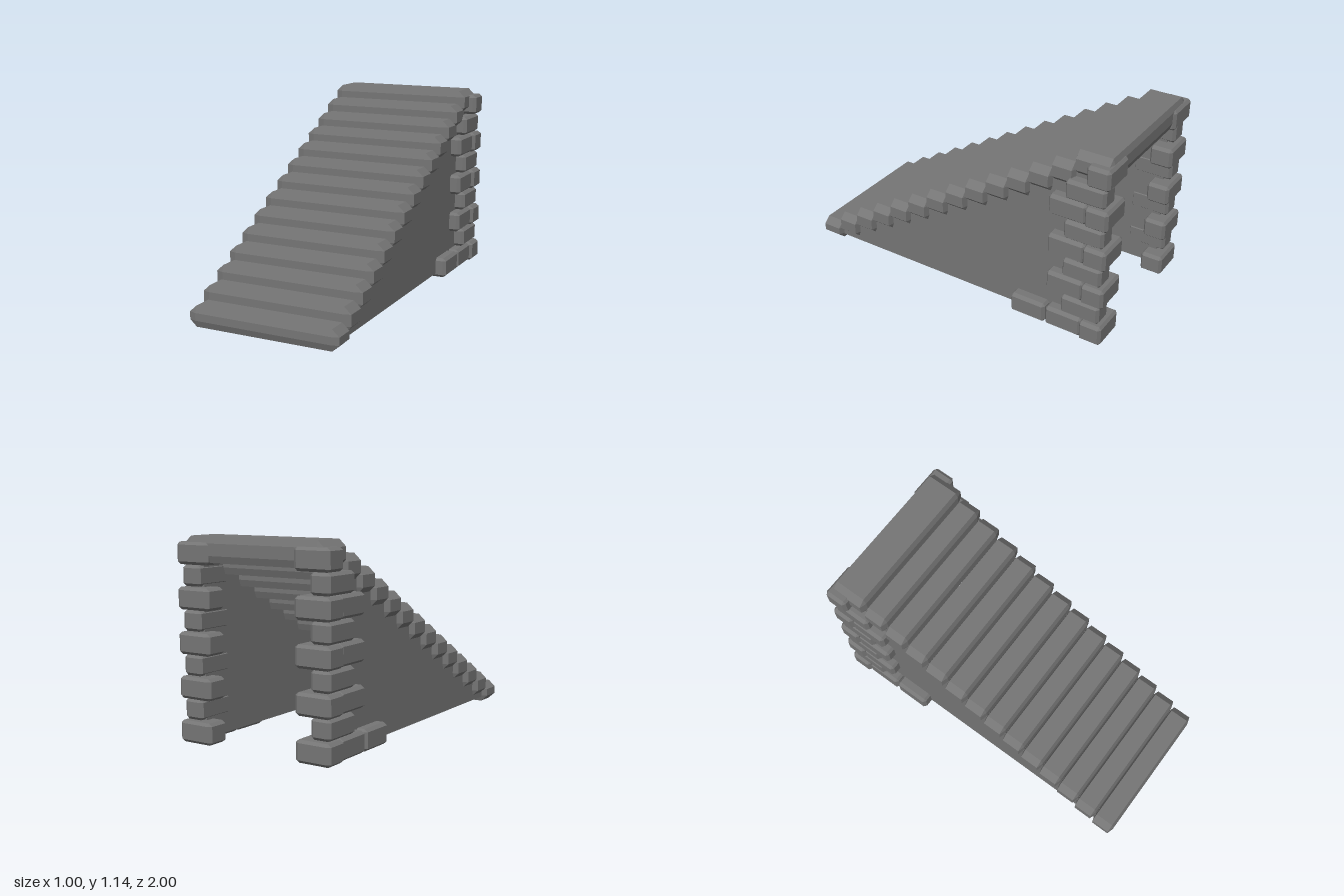
import * as THREE from 'three';
import { ConvexGeometry } from 'three/addons/geometries/ConvexGeometry.js';

const stone = new THREE.MeshStandardMaterial({ color: 0x757575 });
stone.name = 'grey stone';

// Box between two corners with every edge chamfered by (bx, by, bz)
function chamferBox([x0, x1], [y0, y1], [z0, z1], [bx, by, bz]) {
  const hx = (x1 - x0) / 2, hy = (y1 - y0) / 2, hz = (z1 - z0) / 2;
  const points = [];
  for (const sx of [-1, 1]) for (const sy of [-1, 1]) for (const sz of [-1, 1]) {
    points.push(
      new THREE.Vector3(sx * hx, sy * (hy - by), sz * (hz - bz)),
      new THREE.Vector3(sx * (hx - bx), sy * hy, sz * (hz - bz)),
      new THREE.Vector3(sx * (hx - bx), sy * (hy - by), sz * hz));
  }
  return new ConvexGeometry(points).translate((x0 + x1) / 2, (y0 + y1) / 2, (z0 + z1) / 2);
}

function addMesh(parent, name, geometry) {
  const mesh = new THREE.Mesh(geometry, stone);
  mesh.name = name;
  parent.add(mesh);
}

export function createModel() {
  const model = new THREE.Group();
  model.name = 'stoneStaircase';

  // Treads: overlapping slabs, the last one a deeper landing
  const count = 14, run = 0.1362, rise = 0.0785;
  for (let i = 0; i < count; i++) {
    const front = 1 - i * run, top = 0.12 + i * rise;
    const back = i === count - 1 ? -0.985 : front - run - 0.004;
    const bottom = i === 0 ? 0 : top - 0.142;
    addMesh(model, i === count - 1 ? 'landing' : 'step',
      chamferBox([-0.455, 0.455], [bottom, top], [back, front], [0.042, 0.038, 0.013]));
  }

  // Side walls, with the sloping top hidden inside the treads
  const profile = new THREE.Shape([
    [0.93, 0.03], [0.93, 0.06], [-0.83, 1.07], [-0.93, 1.07], [-0.93, 0.03],
  ].map(([z, y]) => new THREE.Vector2(-z, y)));

  for (const side of [1, -1]) {
    const name = side > 0 ? 'left' : 'right';
    const wall = new THREE.ExtrudeGeometry(profile, { depth: 0.055, bevelEnabled: false });
    wall.rotateY(Math.PI / 2).translate(side > 0 ? 0.365 : -0.42, 0, 0);
    addMesh(model, name + 'Wall', wall);

    // Corner stones in alternating courses
    const corner = new THREE.Group();
    corner.name = name + 'CornerStones';
    model.add(corner);
    const block = (blockName, x0, x1, y, z) => addMesh(corner, blockName,
      chamferBox(side > 0 ? [x0, x1] : [-x1, -x0], y, z, [0.02, 0.016, 0.014]));

    for (let course = 0; course < 9; course++) {
      const y0 = 0.008 + course * 0.1222;
      const y = [y0, y0 + 0.122];
      if (course % 2) {
        block('shortStone', 0.36, 0.485, [y0 + 0.003, y0 + 0.118], [-0.975, -0.74]);
        continue;
      }
      block('cornerStone', 0.28, 0.5, y, [-1, -0.865]);
      if (course < 8) block('sideStone', 0.38, 0.485, y, [-0.87, -0.645]);
      if (course === 0) block('footStone', 0.38, 0.485, y, [-0.64, -0.42]);
    }
  }
  return model;
}
